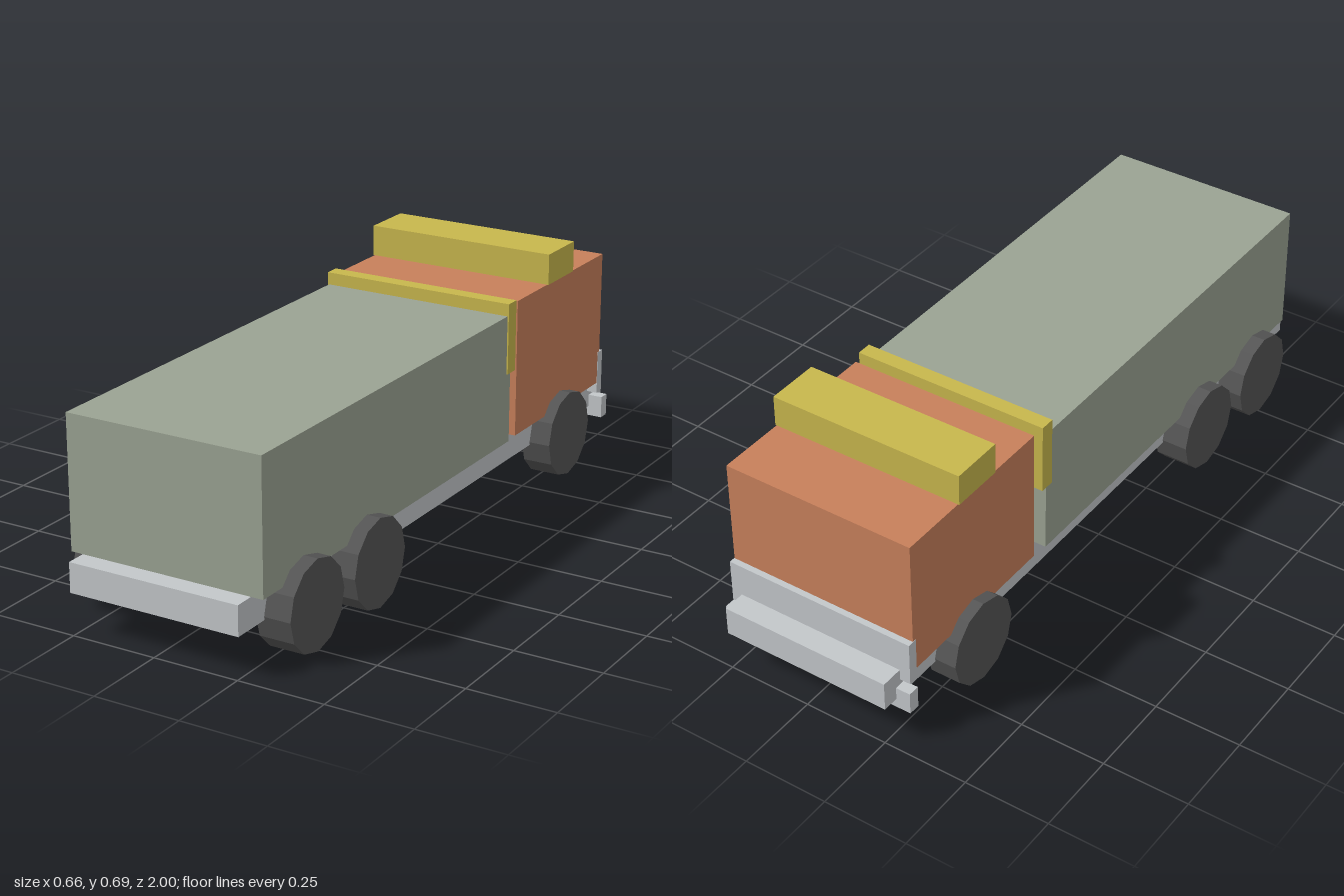
import * as THREE from 'three';

const material = (name, color) => {
  const m = new THREE.MeshStandardMaterial({ color, flatShading: true });
  m.name = name;
  return m;
};

export function createModel() {
  const truck = new THREE.Group();
  truck.name = 'truck';

  const steel = material('light grey steel', 0xc3c7ca);
  const green = material('sage green', 0x9ba393);
  const orange = material('burnt orange', 0xc8805b);
  const yellow = material('mustard yellow', 0xc8b74d);
  const rubber = material('dark rubber', 0x555555);

  // Box centred on x, given its half width and its y and z ranges
  const box = (name, mat, halfWidth, [y0, y1], [z0, z1]) => {
    const mesh = new THREE.Mesh(new THREE.BoxGeometry(halfWidth * 2, y1 - y0, z1 - z0), mat);
    mesh.position.set(0, (y0 + y1) / 2, (z0 + z1) / 2);
    mesh.name = name;
    truck.add(mesh);
  };

  // Frame and bodywork; the cab sits at the -z end
  box('chassis', steel, 0.255, [0.118, 0.203], [-1, 1]);
  box('cargoBody', green, 0.291, [0.203, 0.58], [-0.33, 0.942]);
  box('cab', orange, 0.286, [0.203, 0.605], [-0.916, -0.378]);
  box('roofBox', yellow, 0.29, [0.605, 0.695], [-0.714, -0.557]);
  box('cargoCollar', yellow, 0.295, [0.41, 0.616], [-0.352, -0.308]);
  box('grillePlate', steel, 0.287, [0.171, 0.3], [-0.934, -0.905]);
  box('bumper', steel, 0.298, [0.09, 0.155], [-0.952, -0.918]);

  // Twelve-sided wheels: one axle under the cab, two under the cargo body
  const radius = 0.127;
  const innerX = 0.23;
  const axles = [
    ['cabWheel', -0.658, 0.319],
    ['middleWheel', 0.452, 0.332],
    ['endWheel', 0.758, 0.332],
  ];
  for (const [name, z, outerX] of axles) {
    const geometry = new THREE.CylinderGeometry(radius, radius, outerX - innerX, 12);
    geometry.rotateZ(Math.PI / 2);
    for (const side of [1, -1]) {
      const wheel = new THREE.Mesh(geometry, rubber);
      wheel.position.set(side * (innerX + outerX) / 2, radius, z);
      wheel.name = name + (side > 0 ? 'Left' : 'Right');
      truck.add(wheel);
    }
  }

  return truck;
}
